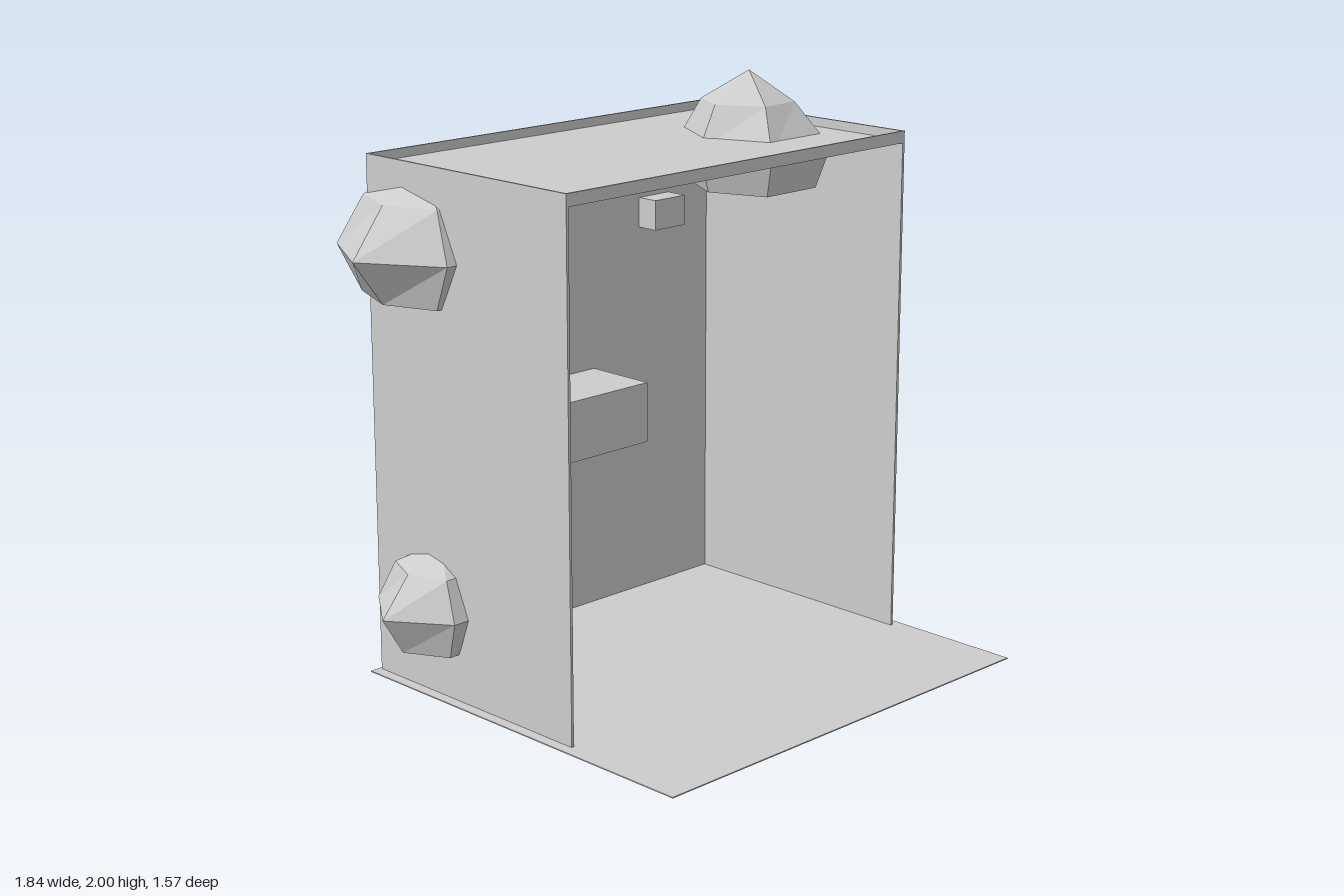
import * as THREE from 'three';

const grey = new THREE.MeshStandardMaterial({ color: 0xcccccc });
grey.name = 'plain grey';

// Box given by its lower and upper corners
function box(name, [x0, y0, z0], [x1, y1, z1]) {
  const mesh = new THREE.Mesh(new THREE.BoxGeometry(x1 - x0, y1 - y0, z1 - z0), grey);
  mesh.position.set((x0 + x1) / 2, (y0 + y1) / 2, (z0 + z1) / 2);
  mesh.name = name;
  return mesh;
}

// Faceted six-sided dome: an apex, then rings from top to bottom, each a height and [x, z] corners
function dome(name, apex, rings) {
  const points = [...apex];
  const faces = [];
  for (const { y, ring } of rings) for (const [x, z] of ring) points.push(x, y, z);
  const at = (r, i) => 1 + r * 6 + (i % 6);
  for (let i = 0; i < 6; i++) {
    faces.push(0, at(0, i + 1), at(0, i));
    for (let r = 0; r < rings.length - 1; r++) {
      faces.push(at(r, i), at(r, i + 1), at(r + 1, i + 1));
      faces.push(at(r, i), at(r + 1, i + 1), at(r + 1, i));
    }
  }
  // Flat underside
  const last = rings.length - 1;
  for (let i = 1; i < 5; i++) faces.push(at(last, 0), at(last, i), at(last, i + 1));
  const indexed = new THREE.BufferGeometry();
  indexed.setAttribute('position', new THREE.Float32BufferAttribute(points, 3));
  indexed.setIndex(faces);
  const geometry = indexed.toNonIndexed();
  geometry.computeVertexNormals();
  const mesh = new THREE.Mesh(geometry, grey);
  mesh.name = name;
  return mesh;
}

export function createModel() {
  const model = new THREE.Group();
  model.name = 'booth';
  const L = -0.71, R = 0.88, B = -0.69, F = 0.28;

  // Ground sheet and open-fronted shell
  model.add(box('ground', [-0.75, 0, -0.7], [0.913, 0.004, 0.78]));
  model.add(box('leftWall', [R - 0.01, 0, B], [R, 1.78, F]));
  model.add(box('rightWall', [L, 0, B], [L + 0.01, 1.78, F]));
  model.add(box('backWall', [L + 0.01, 0, B + 0.015], [R - 0.01, 1.775, B + 0.025]));

  // Roof tray with a thin raised rim
  const roof = new THREE.Group();
  roof.name = 'roof';
  const rim = 0.008, low = 1.775, top = 1.817;
  roof.add(box('roofPanel', [L, low, B], [R, 1.785, F]));
  roof.add(box('frontRim', [L, low, F - rim], [R, top, F]));
  roof.add(box('backRim', [L, low, B], [R, top, B + rim]));
  roof.add(box('leftRim', [R - rim, low, B], [R, top, F]));
  roof.add(box('rightRim', [L, low, B], [L + rim, top, F]));
  model.add(roof);

  // Cabinet on a six-sided post, and a small box high on the back wall
  model.add(box('cabinet', [-0.12, 0.68, B + 0.005], [0.29, 0.9, -0.39]));
  const post = new THREE.Mesh(new THREE.CylinderGeometry(0.026, 0.026, 0.68, 6).toNonIndexed(), grey);
  post.geometry.computeVertexNormals();
  post.position.set(0.081, 0.34, -0.61);
  post.rotation.y = 0.2;
  post.name = 'cabinetPost';
  model.add(post);
  model.add(box('smallBox', [0.52, 1.39, B + 0.005], [0.67, 1.5, -0.58]));

  // Faceted domes
  model.add(dome('roofDome', [0.64, 2, -0.235], [
    { y: 1.895, ring: [[0.82, -0.235], [0.72, -0.09], [0.56, -0.08], [0.47, -0.235], [0.55, -0.38], [0.73, -0.38]] },
    { y: 1.74, ring: [[0.915, -0.235], [0.79, 0.02], [0.49, 0.02], [0.39, -0.235], [0.52, -0.47], [0.77, -0.48]] },
    { y: 1.59, ring: [[0.87, -0.235], [0.77, -0.03], [0.52, -0.03], [0.44, -0.235], [0.53, -0.4], [0.75, -0.4]] },
  ]));
  model.add(dome('upperCornerDome', [-0.61, 1.79, -0.51], [
    { y: 1.68, ring: [[-0.38, -0.51], [-0.51, -0.32], [-0.72, -0.32], [-0.79, -0.51], [-0.71, -0.71], [-0.5, -0.69]] },
    { y: 1.51, ring: [[-0.32, -0.51], [-0.49, -0.24], [-0.75, -0.24], [-0.92, -0.51], [-0.77, -0.785], [-0.49, -0.72]] },
    { y: 1.35, ring: [[-0.43, -0.51], [-0.5, -0.32], [-0.73, -0.32], [-0.8, -0.51], [-0.72, -0.72], [-0.5, -0.69]] },
  ]));
  model.add(dome('lowerCornerDome', [-0.66, 0.52, -0.42], [
    { y: 0.44, ring: [[-0.51, -0.42], [-0.56, -0.28], [-0.75, -0.28], [-0.8, -0.42], [-0.74, -0.56], [-0.57, -0.56]] },
    { y: 0.305, ring: [[-0.485, -0.42], [-0.54, -0.22], [-0.77, -0.22], [-0.913, -0.42], [-0.77, -0.62], [-0.55, -0.62]] },
    { y: 0.17, ring: [[-0.51, -0.42], [-0.59, -0.28], [-0.75, -0.27], [-0.83, -0.42], [-0.75, -0.56], [-0.59, -0.56]] },
  ]));
  return model;
}
